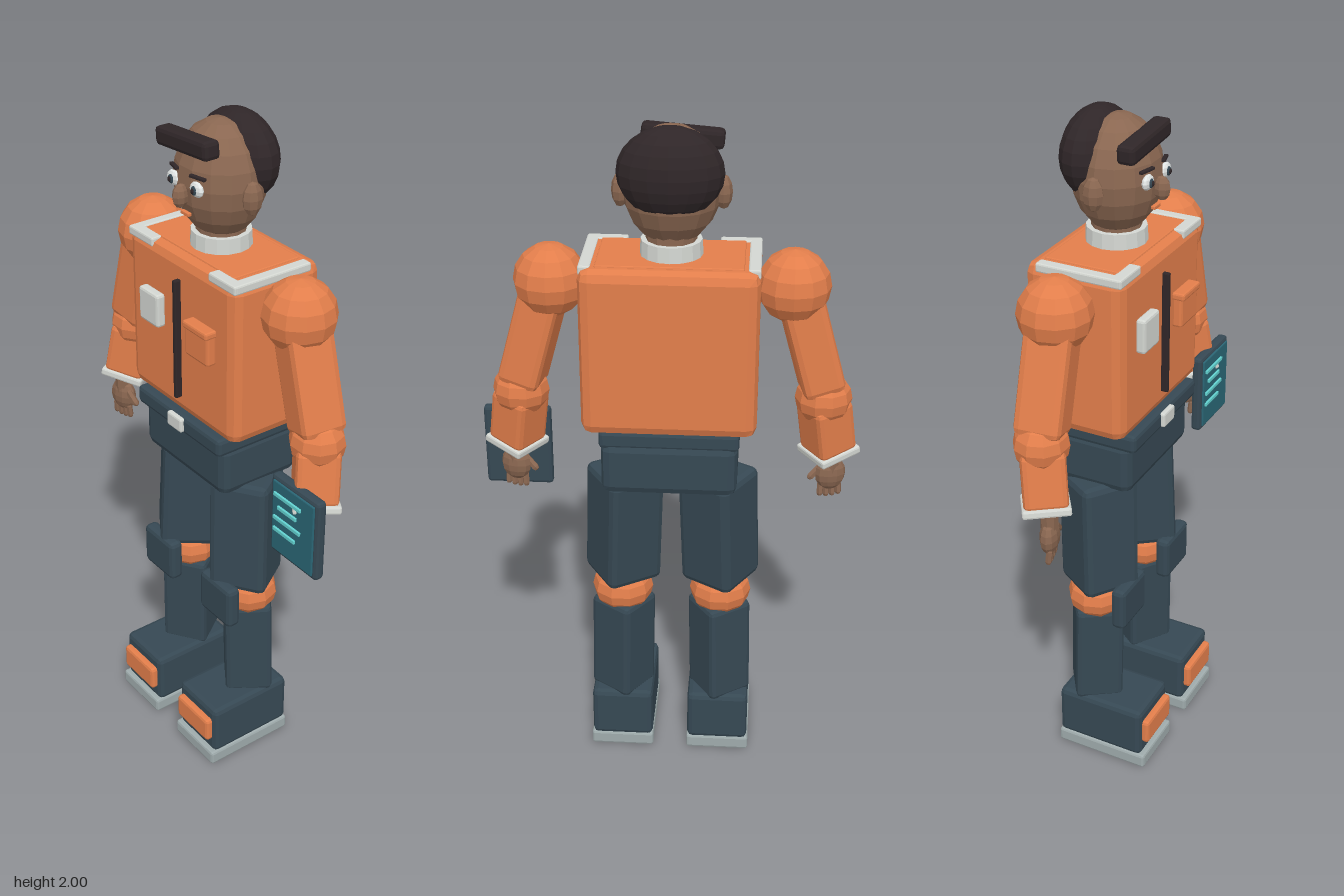
import * as THREE from 'three';
import { RoundedBoxGeometry } from 'three/addons/geometries/RoundedBoxGeometry.js';

const mat = (name, color) => {
  const m = new THREE.MeshStandardMaterial({ color, flatShading: true });
  m.name = name;
  return m;
};

export function createModel() {
  const orange = mat('orange cloth', 0xe27e4b);
  const navy = mat('dark slate cloth', 0x364853);
  const pale = mat('pale grey', 0xd3d6d1);
  const white = mat('eye white', 0xe9edec);
  const skin = mat('skin', 0x8a6751);
  const dark = mat('dark hair', 0x2f2628);
  const rubber = mat('sole grey', 0x9eaaab);
  const teal = mat('screen teal', 0x2a6675);
  const cyan = mat('screen line cyan', 0x62d2d0);

  const model = new THREE.Group();
  model.name = 'figure';
  const body = new THREE.Group();
  body.name = 'body';
  body.position.x = -0.008;
  model.add(body);

  const add = (parent, name, geo, material, p, r = [0, 0, 0]) => {
    const m = new THREE.Mesh(geo, material);
    m.name = name;
    m.position.set(...p);
    m.rotation.set(...r);
    parent.add(m);
    return m;
  };
  // chamfered box, turned about its own long axis by yaw before tilting
  const box = (parent, name, s, material, p, bevel = 0.012, r = [0, 0, 0], yaw = 0) => {
    const geo = new RoundedBoxGeometry(s[0], s[1], s[2], 1, Math.min(bevel, Math.min(...s) * 0.45));
    return add(parent, name, geo.rotateY(yaw), material, p, r);
  };
  // faceted ellipsoid
  const ball = (parent, name, s, material, p, w = 12, h = 8) => {
    const m = add(parent, name, new THREE.SphereGeometry(1, w, h), material, p);
    m.scale.set(...s);
    return m;
  };

  // Torso
  box(body, 'jacket', [0.488, 0.485, 0.293], orange, [0, 1.388, -0.039], 0.03);
  box(body, 'zip', [0.014, 0.365, 0.022], dark, [0, 1.382, 0.117], 0.004);
  box(body, 'badge', [0.09, 0.1, 0.03], pale, [-0.115, 1.44, 0.119], 0.008);
  box(body, 'chestPocket', [0.105, 0.1, 0.032], orange, [0.113, 1.422, 0.12], 0.008);
  box(body, 'pocketFlap', [0.108, 0.022, 0.04], orange, [0.113, 1.466, 0.123], 0.006);
  for (const s of [-1, 1]) {
    box(body, 'shoulderTrim', [0.034, 0.026, 0.25], pale, [s * 0.227, 1.621, -0.024], 0.005);
    box(body, 'collarTrim', [0.115, 0.026, 0.036], pale, [s * 0.186, 1.621, 0.088], 0.005);
  }
  box(body, 'yoke', [0.4, 0.012, 0.22], orange, [0, 1.629, -0.035], 0.004);

  // Hips
  box(body, 'belt', [0.395, 0.055, 0.285], navy, [0, 1.121, -0.02], 0.012);
  box(body, 'buckle', [0.068, 0.044, 0.02], pale, [0, 1.122, 0.124], 0.006);
  box(body, 'pelvis', [0.385, 0.16, 0.268], navy, [0, 1.03, -0.033], 0.025);

  // Neck and head
  add(body, 'neck', new THREE.CylinderGeometry(0.07, 0.07, 0.1, 12), skin, [0, 1.67, -0.034]);
  add(body, 'collar', new THREE.CylinderGeometry(0.084, 0.087, 0.06, 16), pale, [0, 1.648, -0.034]);
  ball(body, 'head', [0.135, 0.162, 0.122], skin, [0, 1.825, -0.03], 14, 10);
  ball(body, 'hair', [0.143, 0.123, 0.087], dark, [0, 1.876, -0.09], 16, 12);
  box(body, 'fringe', [0.225, 0.052, 0.052], dark, [-0.024, 1.932, 0.06], 0.012, [0, 0, 0.08]);
  for (const s of [-1, 1]) {
    ball(body, 'ear', [0.024, 0.047, 0.03], skin, [s * 0.138, 1.808, -0.03], 8, 6);
    ball(body, 'eyeWhite', [0.027, 0.021, 0.012], white, [s * 0.051, 1.832, 0.084], 10, 6);
    ball(body, 'iris', [0.011, 0.013, 0.006], navy, [s * 0.051, 1.831, 0.094], 8, 6);
    ball(body, 'pupil', [0.006, 0.008, 0.004], dark, [s * 0.051, 1.831, 0.099], 8, 6);
    box(body, 'eyebrow', [0.05, 0.008, 0.012], dark, [s * 0.052, 1.864, 0.082], 0.002, [0, s * 0.3, -s * 0.06]);
  }
  ball(body, 'nose', [0.019, 0.034, 0.025], skin, [0, 1.802, 0.1], 8, 6);
  box(body, 'mouth', [0.036, 0.01, 0.012], orange, [0, 1.749, 0.083], 0.002);

  // Legs: limbs are turned about their axes, so edges rather than faces point forward
  for (const s of [-1, 1]) {
    const leg = new THREE.Group();
    leg.name = s > 0 ? 'leftLeg' : 'rightLeg';
    body.add(leg);
    const x = s * 0.148;
    box(leg, 'thigh', [0.176, 0.365, 0.176], navy, [s * 0.142, 0.78, -0.022], 0.02, [-0.03, 0, s * 0.035], s * 0.58);
    ball(leg, 'knee', [0.092, 0.078, 0.088], orange, [x, 0.555, -0.025], 10, 8);
    box(leg, 'kneePad', [0.148, 0.135, 0.045], navy, [s * 0.146, 0.558, 0.077], 0.014);
    box(leg, 'shin', [0.143, 0.325, 0.143], navy, [x, 0.357, -0.028], 0.015, [0.012, 0, s * 0.018], -s * 0.6);
    box(leg, 'boot', [0.187, 0.165, 0.28], navy, [x, 0.125, 0.025], 0.016);
    box(leg, 'sole', [0.193, 0.046, 0.295], rubber, [x + s * 0.001, 0.027, 0.032], 0.008);
    box(leg, 'toePatch', [0.156, 0.08, 0.03], orange, [x, 0.131, 0.171], 0.01);
  }

  // Arms
  for (const s of [-1, 1]) {
    const arm = new THREE.Group();
    arm.name = s > 0 ? 'leftArm' : 'rightArm';
    body.add(arm);
    ball(arm, 'shoulder', [0.103, 0.103, 0.103], orange, [s * 0.333, 1.552, -0.038], 12, 8);
    box(arm, 'upperArm', [0.12, 0.325, 0.132], orange, [s * 0.383, 1.397, -0.035], 0.02, [0, 0, s * 0.27], -s * 0.18);
    ball(arm, 'elbow', [0.081, 0.078, 0.077], orange, [s * 0.429, 1.215, -0.034], 10, 8);

    // Forearm turned inward, hanging slightly forward
    const fore = new THREE.Group();
    fore.name = 'forearm';
    fore.position.set(s * 0.43, 1.21, -0.034);
    fore.rotation.set(-0.12, 0, s * 0.13);
    arm.add(fore);
    box(fore, 'sleeve', [0.122, 0.165, 0.122], orange, [0, -0.088, 0], 0.016, [0, 0, 0], -s * 0.6);
    box(fore, 'cuff', [0.133, 0.024, 0.133], pale, [0, -0.172, 0], 0.006, [0, 0, 0], -s * 0.6);

    // Hand
    const hand = new THREE.Group();
    hand.name = 'hand';
    hand.position.set(s * 0.462, 0.952, 0.002);
    hand.rotation.y = -s * 0.25;
    arm.add(hand);
    add(hand, 'wrist', new THREE.CylinderGeometry(0.025, 0.025, 0.09, 8), skin, [0, 0.05, 0]);
    ball(hand, 'palm', [0.046, 0.052, 0.027], skin, [0, 0, 0], 10, 8);
    for (let i = 0; i < 4; i++) {
      const len = 0.042 - Math.abs(i - 1.5) * 0.006;
      add(hand, 'finger', new THREE.CapsuleGeometry(0.0095, len, 2, 6), skin,
        [s * (i - 1.5) * 0.018, -0.05, 0.004], [0.1, 0, s * (i - 1.5) * 0.03]);
    }
    add(hand, 'thumb', new THREE.CapsuleGeometry(0.011, 0.04, 2, 6), skin, [-s * 0.043, 0.004, 0.008], [0, 0, -s * 0.75]);
  }

  // Tablet held in the left hand
  const tablet = new THREE.Group();
  tablet.name = 'tablet';
  tablet.position.set(0.459, 0.99, 0.049);
  body.add(tablet);
  box(tablet, 'tabletCase', [0.198, 0.252, 0.032], navy, [0, 0, 0], 0.01);
  box(tablet, 'screen', [0.172, 0.226, 0.008], teal, [0, 0, 0.017], 0.003);
  [[0, 0.112], [0, 0.078], [0, 0.112], [-0.01, 0.092]].forEach(([x, w], i) =>
    box(tablet, 'screenLine', [w, 0.011, 0.008], cyan, [x - 0.02, 0.075 - i * 0.038, 0.023], 0.001));

  return model;
}
